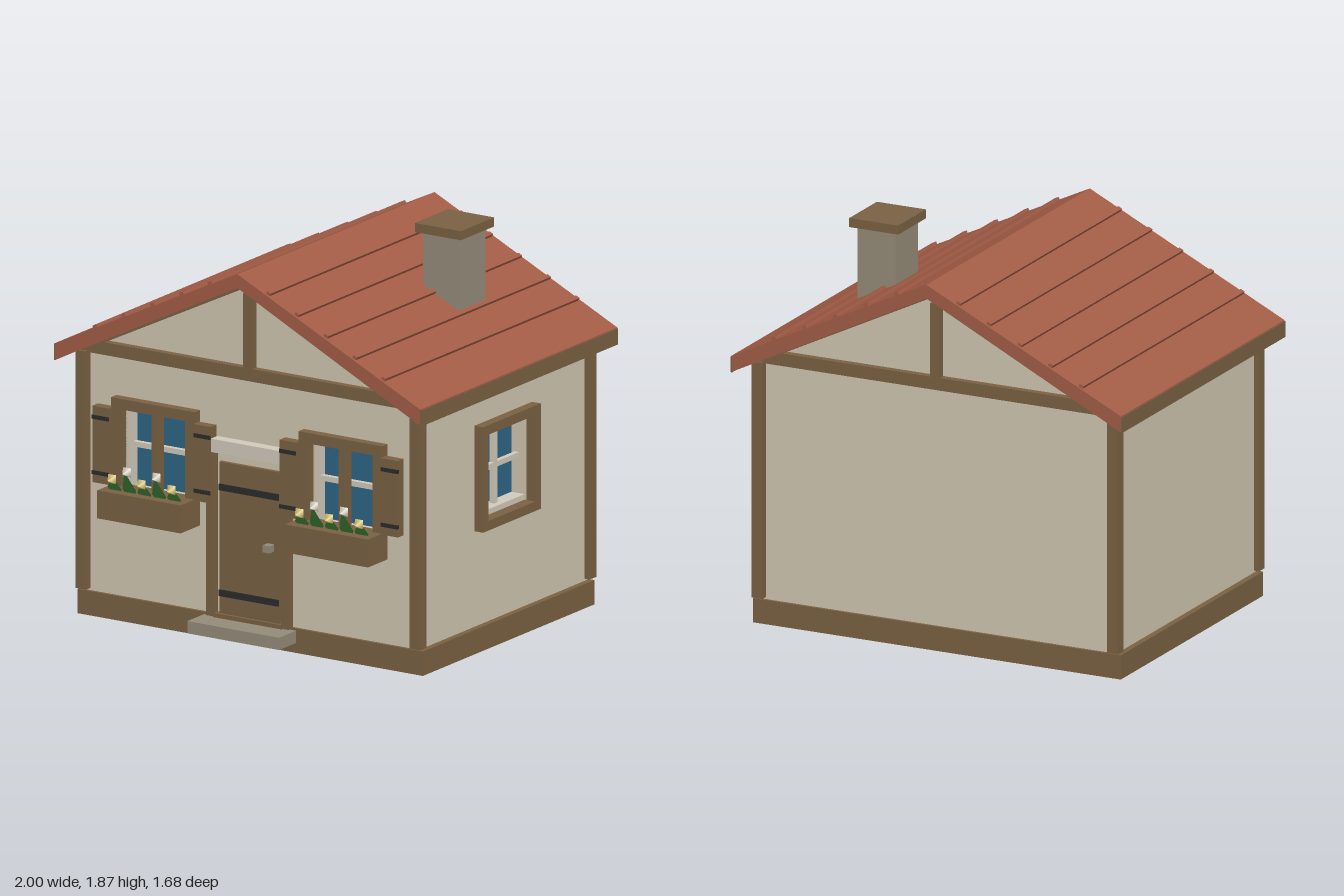
import * as THREE from 'three';

const mat = (name, color) => Object.assign(new THREE.MeshStandardMaterial({ color }), { name });

export function createModel() {
  const house = new THREE.Group();
  house.name = 'cottage';
  const plaster = mat('plaster', 0xd1c7b0), wood = mat('wood', 0x7a6142), tile = mat('roof tile', 0xa25c46);
  const glass = mat('glass', 0x2d6685), iron = mat('iron', 0x2b2b2c), stone = mat('stone', 0x958c79);
  const trim = mat('trim', 0xd3cabb), leaf = mat('leaf', 0x3f8038), yellow = mat('yellow petal', 0xd0bd62);
  leaf.side = THREE.DoubleSide;

  const add = (name, geo, material, parent = house) => {
    const m = new THREE.Mesh(geo, material);
    m.name = name;
    parent.add(m);
    return m;
  };
  // Box given by its limits on each axis
  const box = (name, material, x0, x1, y0, y1, z0, z1, parent) => {
    const g = new THREE.BoxGeometry(x1 - x0, y1 - y0, z1 - z0);
    return add(name, g.translate((x0 + x1) / 2, (y0 + y1) / 2, (z0 + z1) / 2), material, parent);
  };
  const polygon = pts => new THREE.Shape(pts.map(p => new THREE.Vector2(...p)));
  const rect = (x0, x1, y0, y1) => polygon([[x0, y0], [x1, y0], [x1, y1], [x0, y1]]);
  const slab = (shape, z0, z1) =>
    new THREE.ExtrudeGeometry(shape, { depth: z1 - z0, bevelEnabled: false }).translate(0, 0, z0);

  // Foundation and walls
  box('foundation', wood, -0.94, 0.94, 0, 0.115, -0.735, 0.68);
  const gable = () => polygon([[-0.91, 0.1], [0.91, 0.1], [0.91, 1.265], [0, 1.715], [-0.91, 1.265]]);
  const front = gable();
  for (const c of [-0.51, 0.51]) front.holes.push(rect(c - 0.175, c + 0.175, 0.63, 1.01));
  add('frontWall', slab(front, 0.57, 0.665), plaster);
  add('backWall', slab(gable(), -0.72, -0.64), plaster);
  box('leftHandWall', plaster, -0.91, -0.83, 0.1, 1.26, -0.64, 0.57);
  const side = rect(-0.57, 0.64, 0.1, 1.26);
  side.holes.push(rect(-0.165, 0.22, 0.61, 1.02));
  add('windowWall', slab(side, 0, 0.09).rotateY(Math.PI / 2).translate(0.82, 0, 0), plaster);

  // Corner posts and gable timbers
  for (const s of [-1, 1]) {
    for (const [z0, z1] of [[0.645, 0.7], [-0.755, -0.7]])
      box('cornerPost', wood, s * 0.9085 - 0.0285, s * 0.9085 + 0.0285, 0.125, 1.25, z0, z1);
  }
  for (const [z0, z1] of [[0.655, 0.7], [-0.755, -0.71]]) {
    box('tieBeam', wood, -0.88, 0.88, 1.25, 1.31, z0, z1);
    box('kingPost', wood, -0.025, 0.025, 1.31, 1.66, z0, z1);
    add('gableRafters', slab(polygon([[0, 1.72], [-0.93, 1.26], [-0.89, 1.255], [0, 1.695],
      [0.89, 1.255], [0.93, 1.26]]), z0, z1), wood);
  }

  // Roof with battens along each slope and wooden eave boards
  const ROOF_BACK = -0.84, ROOF_FRONT = 0.785, PITCH = Math.atan(0.485);
  add('roof', slab(polygon([[0, 1.775], [-0.995, 1.292], [-0.995, 1.215], [0, 1.71],
    [0.995, 1.215], [0.995, 1.292]]), ROOF_BACK, ROOF_FRONT), tile);
  for (const s of [-1, 1]) {
    box('eaveBoard', wood, s * 0.996 - 0.004, s * 0.996 + 0.004, 1.213, 1.288, ROOF_BACK, ROOF_FRONT);
    for (const x of [0.157, 0.312, 0.47, 0.627, 0.783]) {
      const b = add('roofBatten', new THREE.BoxGeometry(0.022, 0.024, 1.6), tile);
      b.position.set(s * x, 1.777 - 0.485 * x, -0.028);
      b.rotation.z = -s * PITCH;
    }
  }

  // Chimney
  box('chimneyStack', stone, 0.412, 0.606, 1.4, 1.83, -0.342, -0.12);
  box('chimneyCap', wood, 0.385, 0.635, 1.825, 1.868, -0.37, -0.095);

  // Side window
  const sideFrame = rect(-0.21, 0.265, 0.567, 1.065);
  sideFrame.holes.push(rect(-0.165, 0.22, 0.612, 1.02));
  add('sideWindowFrame', slab(sideFrame, 0.9, 0.958).rotateY(Math.PI / 2), wood);
  box('sideGlass', glass, 0.82, 0.828, 0.6, 1.03, -0.23, 0.175);
  box('sideSill', trim, 0.825, 0.9, 0.61, 0.638, -0.22, 0.165);
  box('sideHeadTrim', trim, 0.825, 0.87, 0.995, 1.02, -0.22, 0.165);
  box('sideMullion', trim, 0.845, 0.87, 0.63, 1.01, -0.04, -0.015);
  box('sideCrossbar', trim, 0.845, 0.87, 0.807, 0.832, -0.22, 0.165);

  // Front windows with shutters, planter and flowers
  const frameShape = rect(-0.228, 0.228, 0.64, 1.06);
  frameShape.holes.push(rect(-0.175, 0.175, 0.645, 1.01));
  for (const c of [-0.51, 0.51]) {
    const w = new THREE.Group();
    w.name = 'frontWindow';
    w.position.x = c;
    house.add(w);
    add('frontWindowFrame', slab(frameShape, 0.655, 0.71), wood, w);
    box('frontGlass', glass, -0.18, 0.18, 0.62, 1.02, 0.58, 0.588, w);
    for (const s of [-1, 1])
      box('windowJamb', trim, s * 0.17 - 0.006, s * 0.17 + 0.006, 0.63, 1.01, 0.585, 0.64, w);
    box('windowHead', trim, -0.175, 0.175, 0.993, 1.01, 0.585, 0.64, w);
    box('frontCrossbar', trim, -0.17, 0.17, 0.817, 0.842, 0.6, 0.625, w);
    box('frontMullion', wood, -0.015, 0.015, 0.63, 1.01, 0.64, 0.7, w);
    for (const s of [-1, 1]) {
      box('shutter', wood, s * 0.275 - 0.047, s * 0.275 + 0.047, 0.647, 1.008, 0.675, 0.722, w);
      for (const y of [0.695, 0.957])
        box('shutterHinge', iron, s * 0.277 - 0.045, s * 0.277 + 0.045, y - 0.009, y + 0.009, 0.715, 0.728, w);
    }
    box('planter', wood, -0.227, 0.227, 0.515, 0.647, 0.66, 0.825, w);
    for (let i = -2; i <= 2; i++) {
      const tall = i % 2 !== 0, x = i * 0.081, tip = tall ? 0.755 : 0.71;
      // Leaf leans outward over the planter edge
      const g = new THREE.ShapeGeometry(polygon([[-0.03, 0], [0.03, 0], [0.038, 0.018],
        [0.018, 0.07], [0, 0.12], [-0.018, 0.07], [-0.038, 0.018]]));
      const l = add('leaves', g, leaf, w);
      l.position.set(x, 0.645, 0.775);
      l.scale.y = tall ? 1 : 0.7;
      l.rotation.x = 0.4;
      const bloom = new THREE.ConeGeometry(0.03, 0.038, 4).rotateY(Math.PI / 4).rotateX(Math.PI / 2);
      add('bloom', bloom.toNonIndexed(), tall ? trim : yellow, w).position.set(x, tip - 0.005, 0.82);
    }
  }

  // Door with frame, straps, knob, lintel and step
  box('door', wood, -0.165, 0.162, 0.115, 0.84, 0.64, 0.685);
  box('doorSill', wood, -0.19, 0.185, 0.1, 0.125, 0.65, 0.7);
  for (const s of [-1, 1])
    box('doorJamb', wood, s * 0.204 - 0.02, s * 0.204 + 0.02, 0.11, 0.89, 0.65, 0.705);
  for (const y of [0.222, 0.722]) box('doorStrap', iron, -0.163, 0.16, y - 0.015, y + 0.015, 0.68, 0.693);
  box('doorKnob', stone, 0.098, 0.134, 0.462, 0.496, 0.68, 0.725);
  box('lintel', trim, -0.25, 0.25, 0.89, 0.953, 0.655, 0.72);
  box('doorStep', stone, -0.25, 0.25, 0.047, 0.105, 0.66, 0.82);
  return house;
}
